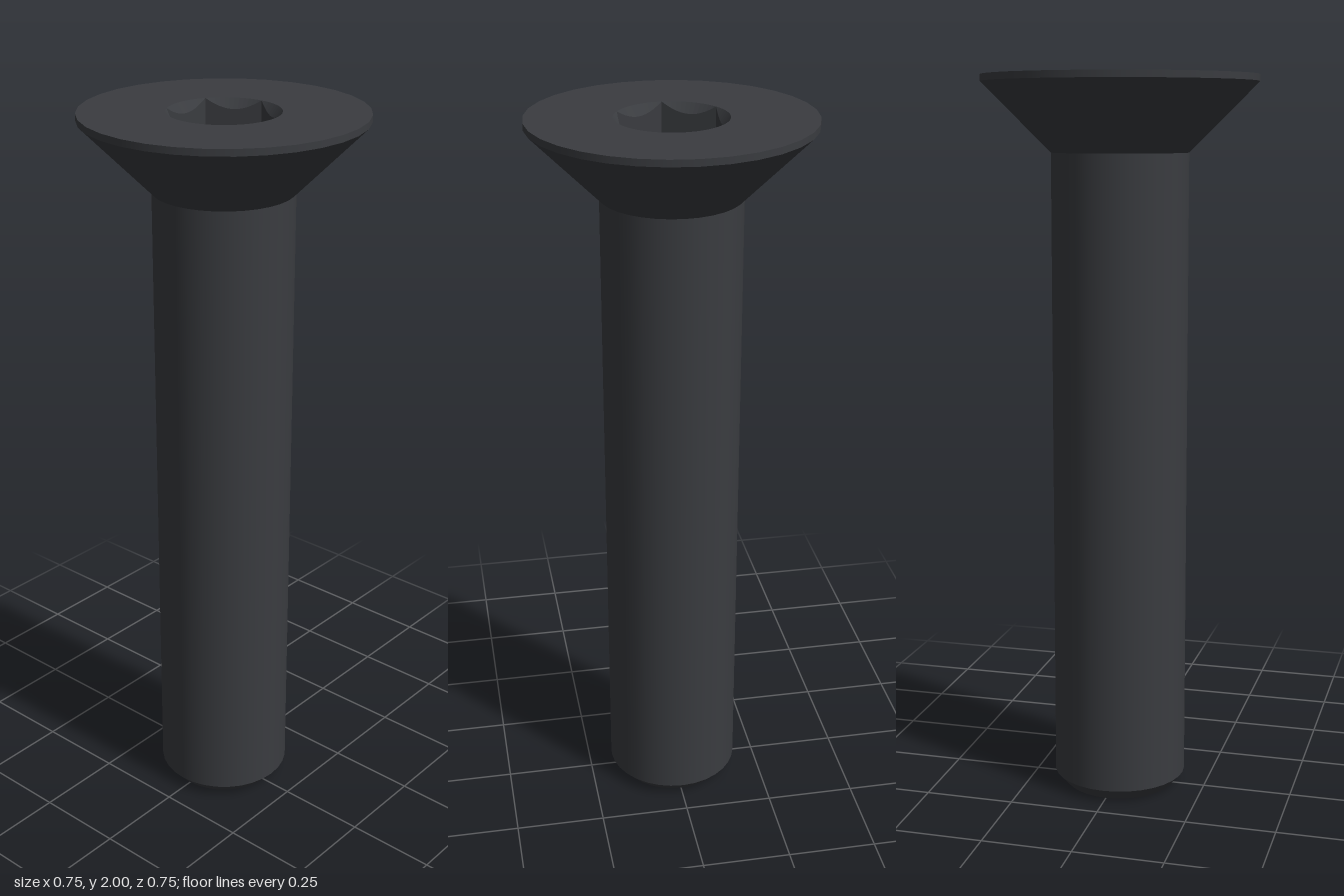
import * as THREE from 'three';

const SIDES = 32;          // facets around the head and shank
const SOCKET_STEPS = 72;   // steps around the socket, a multiple of six
const TOP = 2, HEAD_R = 0.374, SHANK_R = 0.187;
const SOCKET_R = 0.148, SOCKET_DEPTH = 0.14, CHAMFER_SLOPE = 1.3;

const material = new THREE.MeshStandardMaterial({ color: 0x3a3c40 });

function part(name, geometry, y = 0) {
  const mesh = new THREE.Mesh(geometry, material);
  mesh.name = name;
  mesh.position.y = y;
  return mesh;
}

// Open conical or cylindrical band between two heights
function band(name, rBottom, rTop, y0, y1) {
  const g = new THREE.CylinderGeometry(rTop, rBottom, y1 - y0, SIDES, 1, true);
  return part(name, g, (y0 + y1) / 2);
}

// Inward-facing strip between two closed curves around the axis
function innerStrip(upper, lower) {
  const pos = [];
  for (let i = 0; i < SOCKET_STEPS; i++) {
    const a = (i / SOCKET_STEPS) * Math.PI * 2;
    const b = ((i + 1) / SOCKET_STEPS) * Math.PI * 2;
    const [p, q, r, s] = [upper(a), upper(b), lower(b), lower(a)];
    for (const v of [p, q, r, p, r, s]) pos.push(v.x, v.y, v.z);
  }
  const g = new THREE.BufferGeometry();
  g.setAttribute('position', new THREE.Float32BufferAttribute(pos, 3));
  g.computeVertexNormals();
  return g;
}

const polar = (r, a, y) => new THREE.Vector3(r * Math.cos(a), y, -r * Math.sin(a));

// Radius of the hexagon at an angle, corners on the x axis
function hexRadius(a) {
  const sector = Math.PI / 3;
  const local = a - Math.floor(a / sector + 1e-9) * sector - sector / 2;
  return SOCKET_R * Math.cos(sector / 2) / Math.cos(local);
}

function circlePoints(r, n) {
  return Array.from({ length: n }, (_, i) => {
    const a = (i / n) * Math.PI * 2;
    return new THREE.Vector2(r * Math.cos(a), r * Math.sin(a));
  });
}

export function createModel() {
  const screw = new THREE.Group();
  screw.name = 'countersunkScrew';

  // Shank with chamfered tip
  const tip = new THREE.CircleGeometry(0.155, SIDES);
  tip.rotateZ(Math.PI / 2);
  tip.rotateX(Math.PI / 2);
  screw.add(
    part('tipFace', tip),
    band('tipChamfer', 0.155, SHANK_R, 0, 0.035),
    band('shank', SHANK_R, SHANK_R, 0.035, 1.795),
  );

  // Conical head with a thin rim
  screw.add(
    band('headCone', SHANK_R, HEAD_R, 1.795, 1.982),
    band('headRim', HEAD_R, HEAD_R, 1.982, TOP),
  );

  // Flat top face with the round socket opening
  const face = new THREE.Shape(circlePoints(HEAD_R, SIDES));
  face.holes.push(new THREE.Path(circlePoints(SOCKET_R, SOCKET_STEPS).reverse()));
  const top = new THREE.ShapeGeometry(face);
  top.rotateX(-Math.PI / 2);
  screw.add(part('headTop', top, TOP));

  // Hexagonal socket: conical lead-in, walls and floor
  const opening = a => polar(SOCKET_R, a, TOP);
  const hexEdge = a => {
    const r = hexRadius(a);
    return polar(r, a, TOP - CHAMFER_SLOPE * (SOCKET_R - r));
  };
  const hexBase = a => polar(hexRadius(a), a, TOP - SOCKET_DEPTH);
  const floor = new THREE.CircleGeometry(SOCKET_R, 6);
  floor.rotateX(-Math.PI / 2);
  screw.add(
    part('socketChamfer', innerStrip(opening, hexEdge)),
    part('socketWalls', innerStrip(hexEdge, hexBase)),
    part('socketFloor', floor, TOP - SOCKET_DEPTH),
  );

  return screw;
}
